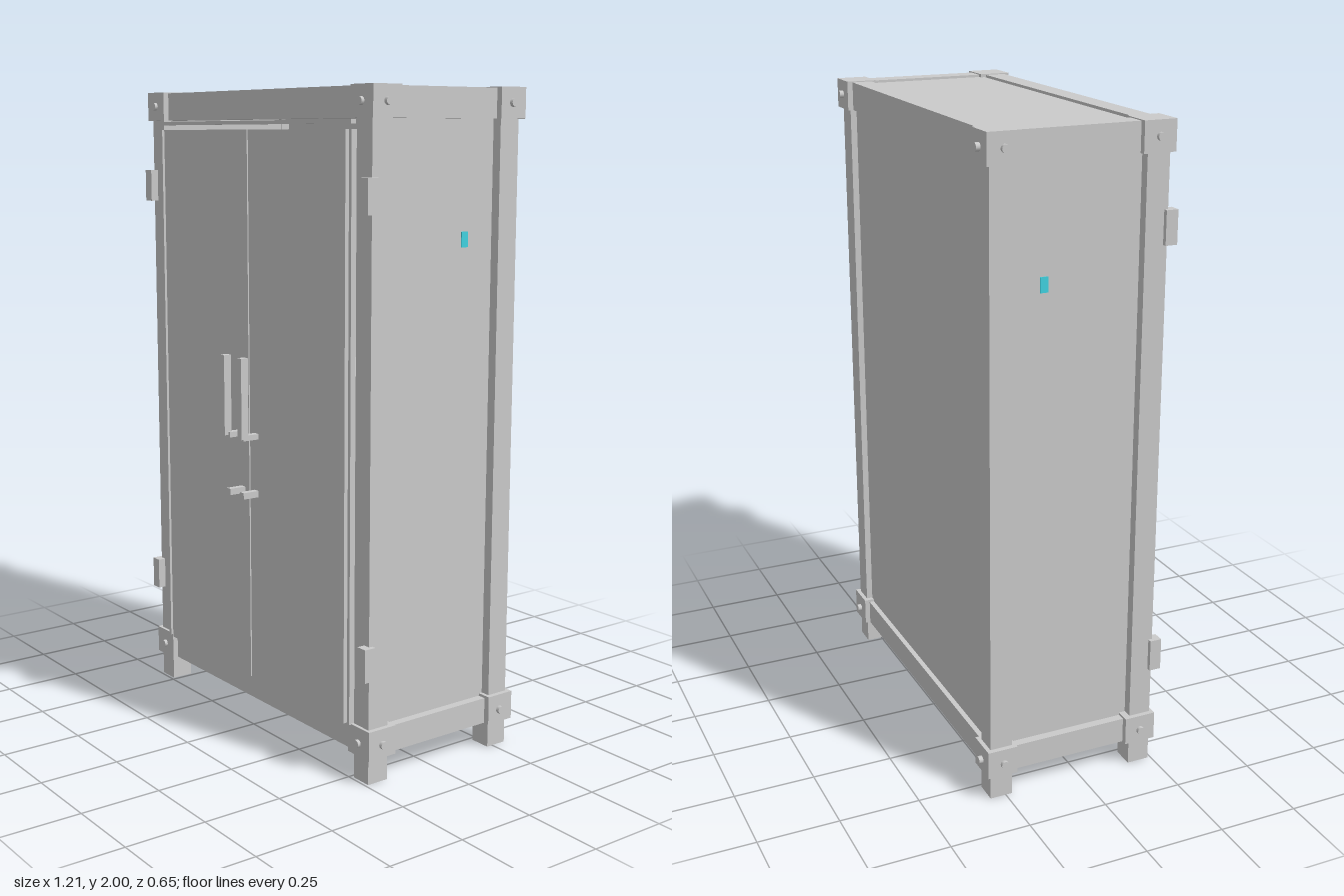
import * as THREE from 'three';

export function createModel() {
  const group = new THREE.Group();
  const metal = new THREE.MeshStandardMaterial({ color: 0xcacaca });
  metal.name = 'grey metal';
  const cyan = new THREE.MeshStandardMaterial({ color: 0x40d2e0 });
  cyan.name = 'cyan plastic';

  // Box given by its lower and upper limits on each axis
  function box(name, [x0, x1], [y0, y1], [z0, z1], material = metal) {
    const mesh = new THREE.Mesh(new THREE.BoxGeometry(x1 - x0, y1 - y0, z1 - z0), material);
    mesh.position.set((x0 + x1) / 2, (y0 + y1) / 2, (z0 + z1) / 2);
    mesh.name = name;
    group.add(mesh);
  }
  // The same box on the left and right
  function pair(name, [x0, x1], y, z, material) {
    box(name, [x0, x1], y, z, material);
    box(name, [-x1, -x0], y, z, material);
  }
  function bolt(x, y, z, axis) {
    const mesh = new THREE.Mesh(new THREE.CylinderGeometry(0.012, 0.012, 0.03, 12), metal);
    if (axis === 'x') mesh.rotation.z = Math.PI / 2;
    else mesh.rotation.x = Math.PI / 2;
    mesh.position.set(x, y, z);
    mesh.name = 'bolt';
    group.add(mesh);
  }

  // Corner posts, which end in the feet
  pair('frontPost', [0.512, 0.58], [0, 1.95], [0.17, 0.24]);
  pair('backPost', [0.512, 0.58], [0, 1.95], [-0.3, -0.23]);

  // Top and bottom rails, corner brackets and bolts
  for (const [y0, y1, boltY] of [[0.08, 0.16, 0.12], [1.91, 1.997, 1.955]]) {
    box('frontRail', [-0.54, 0.54], [y0, y1], [0.168, 0.232]);
    box('backRail', [-0.54, 0.54], [y0, y1], [-0.296, -0.233]);
    pair('sideRail', [0.512, 0.576], [y0, y1], [-0.26, 0.2]);
    const bracketY = y0 > 1 ? [1.91, 2] : [0.08, 0.168];
    pair('frontBracket', [0.496, 0.595], bracketY, [0.15, 0.25]);
    pair('backBracket', [0.496, 0.595], bracketY, [-0.313, -0.218]);
    for (const s of [-1, 1]) {
      bolt(s * 0.545, boltY, 0.245, 'z');
      bolt(s * 0.545, boltY, -0.311, 'z');
      bolt(s * 0.591, boltY, 0.2, 'x');
      bolt(s * 0.591, boltY, -0.262, 'x');
    }
  }

  // Body panels, set in slightly from the frame
  pair('sidePanel', [0.515, 0.55], [0.13, 1.95], [-0.24, 0.18]);
  box('backPanel', [-0.52, 0.52], [0.1, 1.95], [-0.28, -0.26]);
  box('topPanel', [-0.507, 0.507], [1.95, 1.99], [-0.233, 0.163]);
  box('floorPanel', [-0.507, 0.507], [0.135, 0.158], [-0.235, 0.17]);

  // Interior shelves
  for (const y of [0.62, 1.11]) box('shelf', [-0.505, 0.505], [y, y + 0.05], [-0.235, 0.15]);

  // Cyan strips inside, each with a tab through the side panel
  pair('hangingStrip', [0.47, 0.492], [1.17, 1.6], [-0.136, -0.112], cyan);
  pair('stripTab', [0.492, 0.553], [1.545, 1.59], [-0.136, -0.112], cyan);

  // Doors inside a thin surround
  pair('door', [0.003, 0.483], [0.162, 1.88], [0.238, 0.257]);
  pair('surroundSide', [0.498, 0.509], [0.165, 1.88], [0.238, 0.256]);
  box('surroundTop', [-0.506, 0.506], [1.895, 1.906], [0.238, 0.256]);

  // Hinges
  for (const y of [0.32, 1.65]) pair('hinge', [0.558, 0.594], [y, y + 0.1], [0.228, 0.265]);

  // Door handles and latches
  pair('handleBar', [0.036, 0.058], [0.95, 1.2], [0.3, 0.325]);
  pair('handleStem', [0.027, 0.049], [0.943, 0.96], [0.255, 0.312]);
  pair('latch', [0.027, 0.047], [0.76, 0.78], [0.255, 0.312]);

  return group;
}
